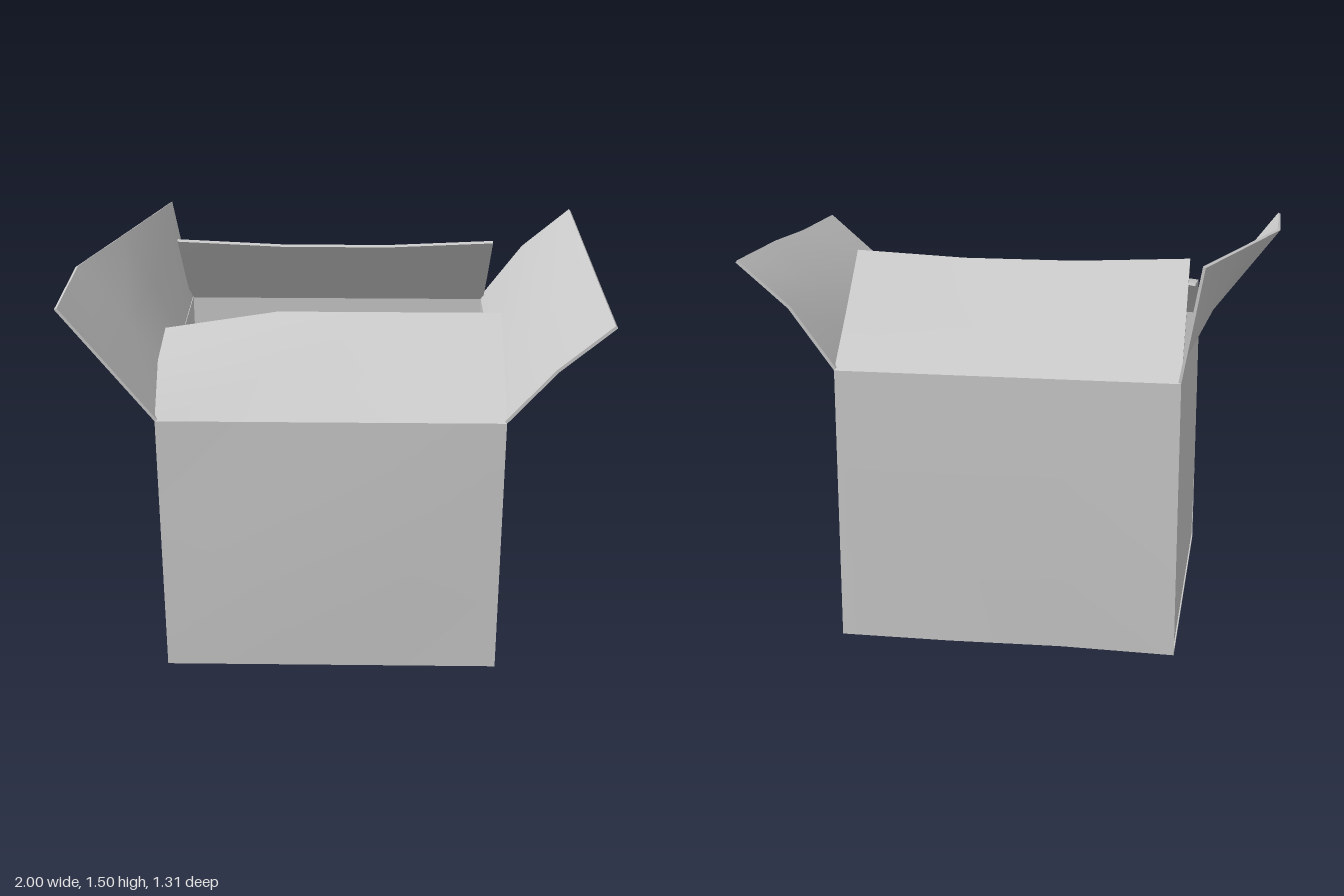
import * as THREE from 'three';

const XS = [-0.665, -0.23, 0.2, 0.625];
const ZS = [0.65, 0.2, -0.2, -0.655];
const YS = [0, 0.35, 0.7, 1.06];
const TOP = 1.06;
const material = new THREE.MeshStandardMaterial({ color: 0xcccccc });

// Cardboard sheet: a grid of outer points, thickened along the inward vector
function sheet(name, rows, inward) {
  const outer = rows.map(r => r.map(p => new THREE.Vector3(...p)));
  const d = new THREE.Vector3(...inward);
  const inner = outer.map(r => r.map(p => p.clone().add(d)));
  const n = rows.length, m = rows[0].length;
  const pos = [], index = [];

  const e1 = outer[0][1].clone().sub(outer[0][0]);
  const e2 = outer[1][0].clone().sub(outer[0][0]);
  const flip = e1.cross(e2).dot(d) > 0;
  const quad = (a, b, c, e, f) => f ? index.push(a, c, b, a, e, c) : index.push(a, b, c, a, c, e);

  // The two broad faces
  [outer, inner].forEach((g, side) => {
    const base = pos.length / 3;
    g.flat().forEach(p => pos.push(p.x, p.y, p.z));
    for (let i = 0; i < n - 1; i++) {
      for (let j = 0; j < m - 1; j++) {
        const a = base + i * m + j;
        quad(a, a + 1, a + m + 1, a + m, flip !== (side === 1));
      }
    }
  });

  // The cut edge all round
  const rim = [];
  for (let j = 0; j < m - 1; j++) rim.push([0, j]);
  for (let i = 0; i < n - 1; i++) rim.push([i, m - 1]);
  for (let j = m - 1; j > 0; j--) rim.push([n - 1, j]);
  for (let i = n - 1; i > 0; i--) rim.push([i, 0]);
  rim.forEach(([i, j], k) => {
    const [i2, j2] = rim[(k + 1) % rim.length];
    const base = pos.length / 3;
    [outer[i][j], inner[i][j], inner[i2][j2], outer[i2][j2]].forEach(p => pos.push(p.x, p.y, p.z));
    quad(base, base + 1, base + 2, base + 3, flip);
  });

  const geometry = new THREE.BufferGeometry();
  geometry.setAttribute('position', new THREE.Float32BufferAttribute(pos, 3));
  geometry.setIndex(index);
  geometry.computeVertexNormals();
  const mesh = new THREE.Mesh(geometry, material);
  mesh.name = name;
  return mesh;
}

export function createModel() {
  const box = new THREE.Group();
  box.name = 'openCardboardBox';
  const t = 0.011;

  // Slight swelling in the middle of the front wall
  const swell = (i, j) => (j === 1 || j === 2) && i > 0 && i < 3 ? 0.008 : 0;
  const dent = (i, j) => i === 0 && j === 1 ? 0.015 : 0;

  // Walls and floor
  box.add(
    sheet('frontWall', YS.map((y, i) => XS.map((x, j) => [x, y, 0.65 + swell(i, j)])), [0, 0, -t]),
    sheet('backWall', YS.map((y, i) => XS.map((x, j) => [x, y, -0.655 + dent(i, j)])), [0, 0, t]),
    sheet('leftWall', YS.map(y => ZS.map(z => [0.625, y, z])), [-t, 0, 0]),
    sheet('rightWall', YS.map((y, i) => ZS.map(z => [-0.665 + (i === 0 ? 0.005 : 0), y, z])), [t, 0, 0]),
    sheet('floor', ZS.map((z, i) => XS.map((x, j) => [x, 0, z + (i === 3 ? dent(0, j) : 0)])), [0, t, 0])
  );

  // Front flap folded inwards, one corner curling down
  box.add(sheet('frontFlap', [
    XS.map(x => [x, TOP, 0.65]),
    XS.map((x, j) => [x, [1.23, 1.19, 1.18, 1.18][j], 0.48]),
    XS.map((x, j) => [x, [1.26, 1.33, 1.33, 1.33][j], 0.23])
  ], [0, -0.01, -0.006]));

  // Back flap leaning inwards with a sagging edge
  box.add(sheet('backFlap', [
    XS.map(x => [x, TOP, -0.655]),
    XS.map(x => [x, 1.24, -0.47]),
    XS.map((x, j) => [x, [1.45, 1.43, 1.43, 1.45][j], -0.27])
  ], [0, -0.008, 0.008]));

  // Left flap opened outwards, bent and a little twisted
  box.add(sheet('leftFlap', [
    ZS.map(z => [0.625, TOP, z]),
    ZS.map((z, j) => [[0.802, 0.8, 0.795, 0.793][j], [1.265, 1.267, 1.29, 1.29][j], z]),
    ZS.map((z, j) => [[1, 0.998, 0.988, 0.987][j], [1.437, 1.437, 1.457, 1.457][j], z])
  ], [-0.008, 0.009, 0]));

  // Right flap opened outwards, standing steeper towards the back
  const tip = [[-1, 1.495], [-1, 1.495], [-0.878, 1.49], [-0.74, 1.485]];
  box.add(sheet('rightFlap', [0, 0.5, 1].map(s => ZS.map((z, j) => [
    -0.665 + s * (tip[j][0] + 0.665), TOP + s * (tip[j][1] - TOP), z
  ])), [0.01, 0.005, 0]));

  return box;
}
